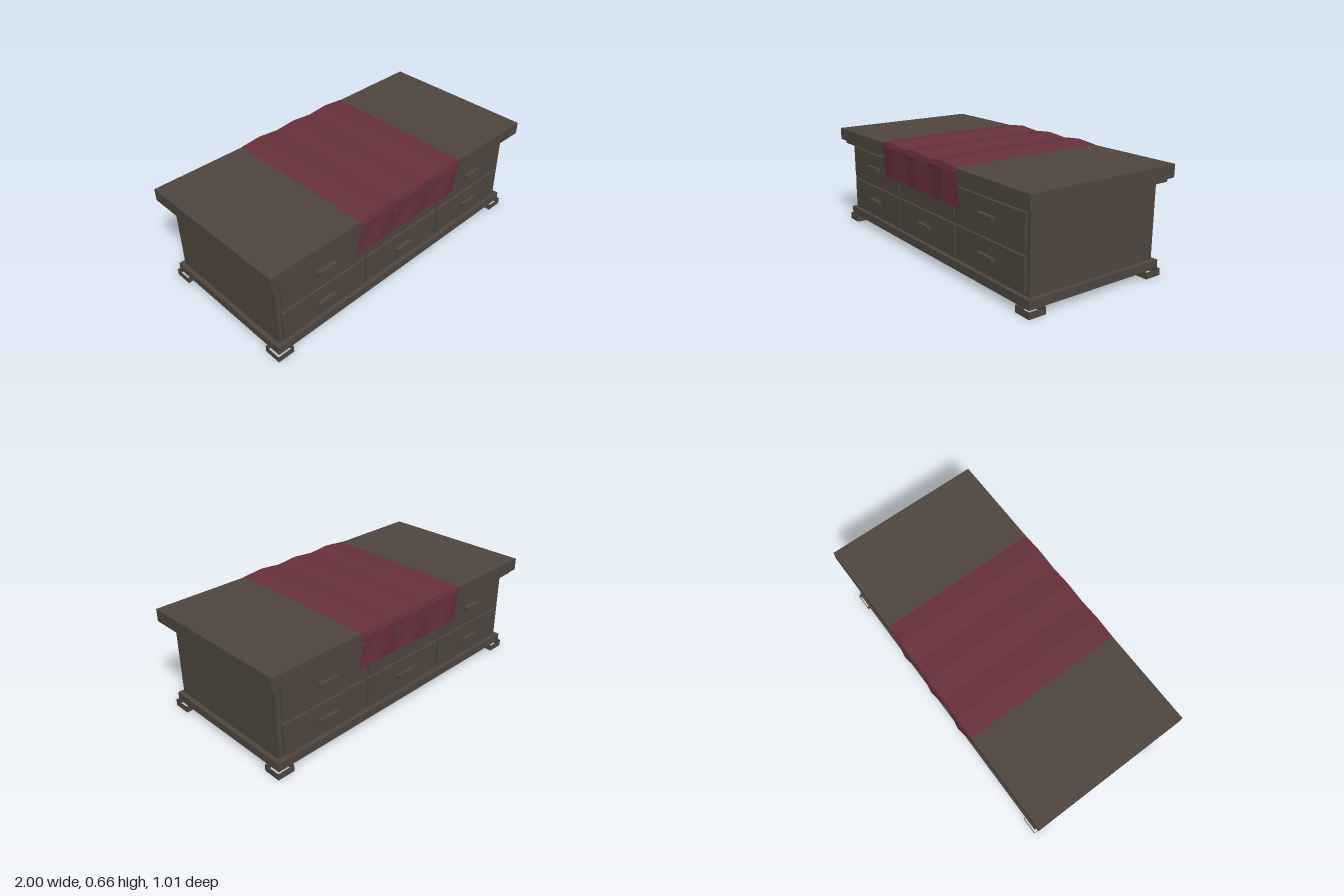
import * as THREE from 'three';

const wood = new THREE.MeshStandardMaterial({ color: 0x4e453e, side: THREE.DoubleSide, flatShading: true });
wood.name = 'dark wood';
const cloth = new THREE.MeshStandardMaterial({ color: 0x67303a, side: THREE.DoubleSide, flatShading: true });
cloth.name = 'wine red cloth';

// Box between two heights; skipped faces (0-5: +x -x +y -y +z -z) are left open
function box(name, w, y0, y1, d, x = 0, z = 0, skip = []) {
  const geo = new THREE.BoxGeometry(w, y1 - y0, d);
  const index = Array.from(geo.index.array).filter((_, i) => !skip.includes(Math.floor(i / 6)));
  geo.setIndex(index);
  geo.clearGroups();
  const mesh = new THREE.Mesh(geo, wood);
  mesh.name = name;
  mesh.position.set(x, (y0 + y1) / 2, z);
  return mesh;
}

// Draped runner: rows run from back to front, columns alternate trough and crest
function makeRunner() {
  // [z trough, y trough, z crest, y crest] from the middle to the front hem
  const half = [
    [0, 0.642, 0, 0.656],
    [0.18, 0.641, 0.18, 0.655],
    [0.36, 0.639, 0.36, 0.653],
    [0.494, 0.638, 0.494, 0.651],
    [0.498, 0.615, 0.504, 0.615],
    [0.478, 0.41, 0.503, 0.438],
  ];
  const back = half.slice(1).reverse().map(([a, b, c, d]) => [-a, b, -c, d]);
  const rows = [...back, ...half];
  const cols = 6;
  const geo = new THREE.PlaneGeometry(0.81, 1, cols, rows.length - 1);
  const pos = geo.attributes.position;
  rows.forEach(([zt, yt, zc, yc], r) => {
    for (let c = 0; c <= cols; c++) {
      const i = r * (cols + 1) + c;
      const crest = c % 2 === 1;
      pos.setXYZ(i, pos.getX(i), crest ? yc : yt, crest ? zc : zt);
    }
  });
  geo.computeVertexNormals();
  const mesh = new THREE.Mesh(geo, cloth);
  mesh.name = 'tableRunner';
  return mesh;
}

export function createModel() {
  const model = new THREE.Group();
  model.name = 'chestTable';

  // Carcass, plinth open underneath, and stepped top
  model.add(
    box('plinth', 1.92, 0.04, 0.09, 0.914, 0, 0, [3]),
    box('body', 1.868, 0.09, 0.535, 0.864),
    box('cornice', 1.95, 0.535, 0.56, 0.944),
    box('tableTop', 2, 0.56, 0.635, 0.99),
  );

  // Hollow corner feet
  for (const sx of [-1, 1]) {
    for (const sz of [-1, 1]) {
      model.add(box('foot', 0.105, 0, 0.04, 0.107, sx * 0.92, sz * 0.414, [2, 3]));
    }
  }

  // Drawers with bar handles on both long sides
  for (const sz of [-1, 1]) {
    for (const [y0, y1] of [[0.113, 0.296], [0.331, 0.515]]) {
      for (const x of [-0.61, 0, 0.61]) {
        const mid = (y0 + y1) / 2;
        model.add(
          box('drawerFront', 0.596, y0, y1, 0.016, x, sz * 0.438),
          box('handle', 0.125, mid - 0.012, mid + 0.012, 0.026, x, sz * 0.457),
        );
      }
    }
  }

  model.add(makeRunner());
  return model;
}
